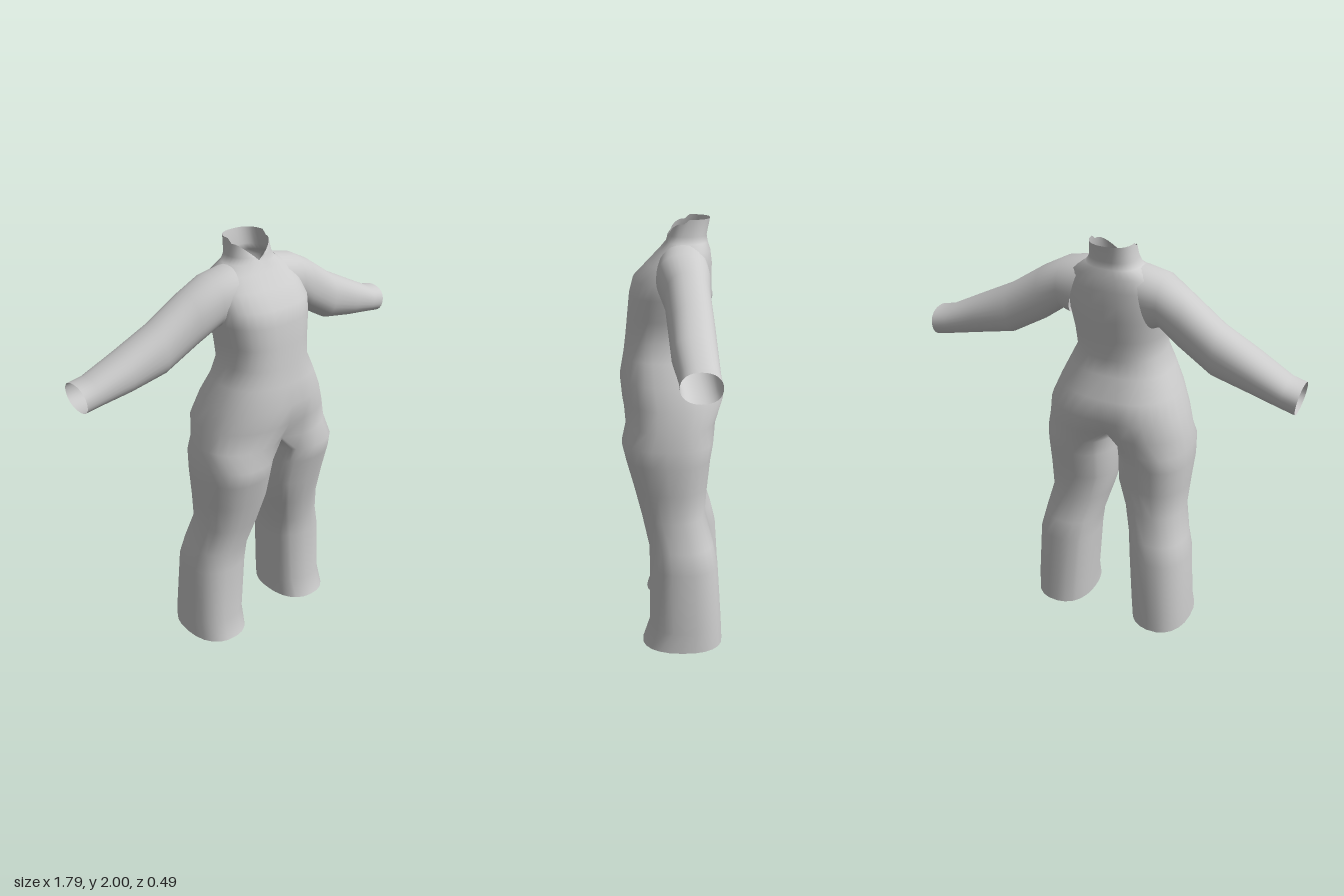
import * as THREE from 'three';
import { mergeGeometries, mergeVertices } from 'three/addons/utils/BufferGeometryUtils.js';

const N = 32; // points per cross-section
const V = (x, y, z) => new THREE.Vector3(x, y, z);
const pow = (v, n) => Math.sign(v) * Math.abs(v) ** (2 / n);
const ring = (fn) => Array.from({ length: N }, (_, i) => fn(i));

// Skin a list of closed rings; mirror flips the result to the other side
function loft(rings, mirror = false) {
  const pos = [], idx = [];
  rings.forEach((r) => r.forEach((p) => pos.push(mirror ? -p.x : p.x, p.y, p.z)));
  for (let j = 0; j < rings.length - 1; j++) {
    for (let i = 0; i < N; i++) {
      const a = j * N + i, b = j * N + (i + 1) % N, c = b + N, d = a + N;
      if (mirror) idx.push(a, c, b, a, d, c);
      else idx.push(a, b, c, a, c, d);
    }
  }
  const g = new THREE.BufferGeometry();
  g.setAttribute('position', new THREE.Float32BufferAttribute(pos, 3));
  g.setIndex(idx);
  return g;
}

function smooth(parts) {
  const g = mergeVertices(mergeGeometries(parts), 1e-4);
  g.computeVertexNormals();
  return g;
}

// Horizontal torso section: height, half width, front z, back z, centre crease depth
function torsoRing([y, w, zf, zb, crease = 0]) {
  return ring((i) => {
    const t = (i / N) * Math.PI * 2;
    const x = w * pow(Math.sin(t), 2.4);
    const z = (zf + zb) / 2 + ((zf - zb) / 2) * pow(Math.cos(t), 2.4);
    return V(x, y, z * (1 - crease * Math.exp(-((x / 0.07) ** 2))));
  });
}

// Horizontal leg section: height, inner x, outer x, front z, back z
function legRing([y, xi, xo, zf, zb]) {
  return ring((i) => {
    const deg = i <= N / 2 ? -35 + (250 * i) / (N / 2) : 215 + (110 * (i - N / 2)) / (N / 2);
    const t = THREE.MathUtils.degToRad(deg);
    return V((xi + xo) / 2 + ((xo - xi) / 2) * pow(Math.sin(t), 2.3), y,
      (zf + zb) / 2 + ((zf - zb) / 2) * pow(Math.cos(t), 2.3));
  });
}

// Tilted sleeve section: top x, top y, bottom x, bottom y, front z, back z
function sleeveRing([xt, yt, xb, yb, zf, zb]) {
  return ring((i) => {
    const t = (i / N) * Math.PI * 2, c = pow(Math.cos(t), 2.2), s = pow(Math.sin(t), 2.2);
    return V((xt + xb) / 2 + ((xt - xb) / 2) * c, (yt + yb) / 2 + ((yt - yb) / 2) * c,
      (zf + zb) / 2 + ((zf - zb) / 2) * s);
  });
}

export function createModel() {
  const group = new THREE.Group();
  group.name = 'jumpsuit';
  const cloth = new THREE.MeshStandardMaterial({ color: 0xcccccc, side: THREE.DoubleSide });
  cloth.name = 'light grey cloth';

  const add = (name, geometry) => {
    const m = new THREE.Mesh(geometry, cloth);
    m.name = name;
    group.add(m);
  };

  // Torso, from hips to collar base
  const torso = [
    [1.08, 0.352, 0.23, -0.215, 0.22],
    [1.18, 0.33, 0.24, -0.245, 0.04],
    [1.28, 0.29, 0.248, -0.215],
    [1.38, 0.245, 0.23, -0.165],
    [1.46, 0.205, 0.22, -0.155],
    [1.56, 0.213, 0.21, -0.165],
    [1.66, 0.23, 0.2, -0.18],
    [1.73, 0.235, 0.182, -0.18],
    [1.8, 0.225, 0.115, -0.18],
    [1.86, 0.195, 0.058, -0.172],
    [1.895, 0.125, 0.03, -0.16],
    [1.925, 0.108, 0.024, -0.155],
    [2.0, 0.1, 0.015, -0.17],
  ].map(torsoRing);

  // V notch in the open collar
  torso.slice(-2).forEach((r, k) => r.forEach((p) => {
    if (p.z > -0.07) p.y = Math.min(p.y - (k ? 0.02 : 0), 1.898 + 0.004 * k + 0.85 * Math.abs(p.x));
  }));

  // Leg top shares half of the hip ring and closes along the crotch seam
  const hip = torso[0], half = N / 2;
  const crotch = ring((i) => {
    if (i <= half) return hip[i];
    const k = (i - half) / half;
    return V(0, 1.08 - 0.05 * Math.sin(k * Math.PI), THREE.MathUtils.lerp(hip[half].z, hip[0].z, k));
  });
  const leg = [
    [0.0, 0.125, 0.42, 0.14, -0.245],
    [0.1, 0.12, 0.415, 0.107, -0.24],
    [0.4, 0.098, 0.4, 0.105, -0.22],
    [0.5, 0.088, 0.377, 0.108, -0.197],
    [0.64, 0.05, 0.347, 0.142, -0.157],
    [0.78, 0.012, 0.356, 0.178, -0.168],
    [0.92, 0.008, 0.367, 0.215, -0.182],
    [1.0, 0.005, 0.363, 0.234, -0.195],
  ].map(legRing);
  leg.push(crotch);
  add('torsoAndLegs', smooth([loft(torso), loft(leg), loft(leg, true)]));

  // Sleeves, from inside the shoulder to the open cuff
  const sleeve = [
    [0.13, 1.895, 0.2, 1.62, 0.07, -0.165],
    [0.24, 1.872, 0.235, 1.64, 0.068, -0.17],
    [0.35, 1.815, 0.33, 1.57, 0.03, -0.17],
    [0.51, 1.708, 0.49, 1.477, 0.01, -0.186],
    [0.68, 1.622, 0.665, 1.441, -0.005, -0.195],
    [0.83, 1.547, 0.81, 1.413, -0.035, -0.203],
    [0.895, 1.533, 0.88, 1.4, -0.04, -0.21],
  ].map(sleeveRing);
  add('leftSleeve', smooth([loft(sleeve)]));
  add('rightSleeve', smooth([loft(sleeve, true)]));

  return group;
}
